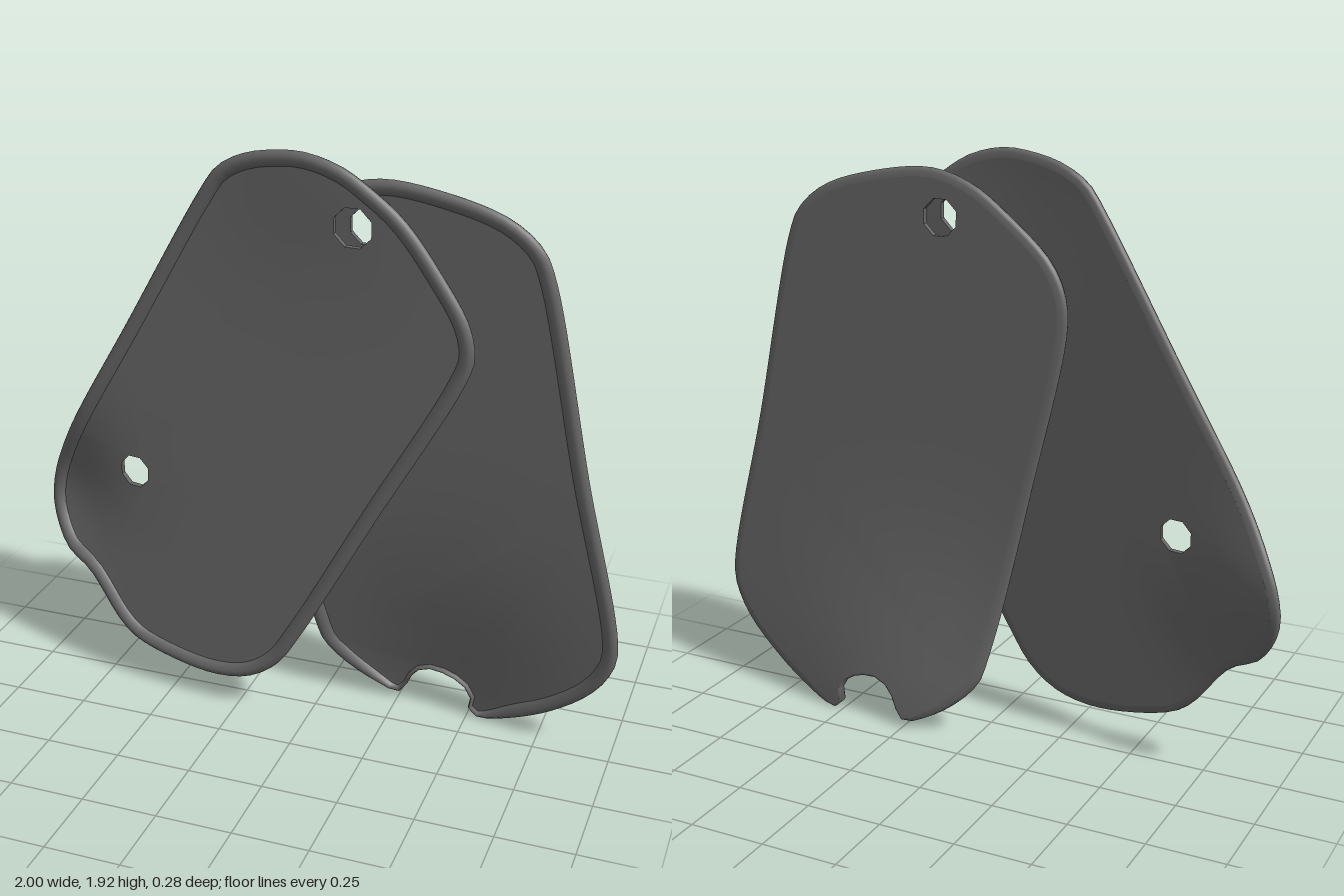
import * as THREE from 'three';
import { mergeVertices } from 'three/addons/utils/BufferGeometryUtils.js';

const SAMPLES = 120;
const bump = (x, y, cx, cy, amount, spread) =>
  amount * Math.exp(-((x - cx) ** 2 + (y - cy) ** 2) / spread);

// Bend of each plate, as depth over the front plane
function frontBend(x, y) {
  const s = (x + 0.23) * 0.866 - (y - 1.01) * 0.5;
  return 0.04 + 0.115 * s + bump(x, y, -1, 0.65, -0.08, 0.06) + bump(x, y, 0.05, 1.95, 0.03, 0.12);
}
function rearBend(x, y) {
  const s = (x - 0.35) * 0.977 + (y - 0.95) * 0.21;
  const u = (y - 0.95) * 0.977 - (x - 0.35) * 0.21;
  return -0.02 + 0.04 * s + 0.015 * u + bump(x, y, 0.3, -0.05, -0.105, 0.26);
}

// Outlines, counter-clockwise: x, y and an optional rim width factor
const frontOutline = [
  [-0.02, 1.92], [-0.12, 1.915], [-0.23, 1.89], [-0.32, 1.84], [-0.38, 1.76], [-0.665, 1.27],
  [-0.95, 0.78], [-0.99, 0.68], [-1, 0.6], [-0.98, 0.52], [-0.92, 0.43], [-0.82, 0.37],
  [-0.7, 0.22], [-0.64, 0.17], [-0.5, 0.125], [-0.33, 0.105], [-0.2, 0.13], [-0.1, 0.2],
  [-0.02, 0.32], [0.24, 0.795], [0.5, 1.27], [0.53, 1.36], [0.51, 1.46], [0.42, 1.6],
  [0.3, 1.75], [0.2, 1.83], [0.1, 1.89],
];
const rearOutline = [
  [0.2, 1.85], [0.06, 1.81], [-0.06, 1.73], [-0.214, 1.594], [-0.265, 1.49], [-0.272, 1.38],
  [-0.155, 0.83], [-0.035, 0.28], [-0.01, 0.2], [0.05, 0.13], [0.15, 0.06, 0.8], [0.25, 0.025, 0.4],
  [0.28, 0.06, 0.3], [0.31, 0.12, 0.3], [0.36, 0.15, 0.3], [0.44, 0.14, 0.3], [0.49, 0.11, 0.3],
  [0.51, 0.07, 0.3], [0.5, 0.04, 0.3], [0.52, 0.01, 0.3], [0.56, 0.005, 0.5], [0.68, 0.05],
  [0.8, 0.12], [0.92, 0.22], [0.98, 0.31], [1, 0.4], [0.87, 1.0], [0.74, 1.6], [0.7, 1.69],
  [0.6, 1.77], [0.4, 1.83],
];

// Rolled rim section: inset from the outline, depth
const rimSection = [
  [0.05, -0.001], [0.042, 0.01], [0.026, 0.018], [0.012, 0.015], [0.003, 0.007],
  [0, -0.002], [0.003, -0.011], [0.012, -0.018], [0.03, -0.02],
];

// Evenly spaced outline samples with their inward normals
function sampleOutline(points) {
  const curve = new THREE.CatmullRomCurve3(
    points.map(([x, y, w = 1]) => new THREE.Vector3(x, y, w * 0.1)), true, 'centripetal');
  const p = curve.getSpacedPoints(SAMPLES).slice(0, SAMPLES);
  return p.map((q, i) => {
    const a = p[(i + SAMPLES - 1) % SAMPLES], b = p[(i + 1) % SAMPLES];
    const n = new THREE.Vector2(a.y - b.y, b.x - a.x).normalize();
    const w = q.z * 10;
    return (inset) => new THREE.Vector2(q.x + n.x * inset * w, q.y + n.y * inset * w);
  });
}

// Splits every triangle into four
function subdivide(array) {
  const out = [];
  const mid = (a, b) => a.map((v, k) => (v + b[k]) / 2);
  for (let i = 0; i < array.length; i += 9) {
    const [a, b, c] = [0, 3, 6].map((k) => Array.from(array.slice(i + k, i + k + 3)));
    const ab = mid(a, b), bc = mid(b, c), ca = mid(c, a);
    for (const v of [a, ab, ca, ab, b, bc, ca, bc, c, ab, bc, ca]) out.push(v[0], v[1], v[2]);
  }
  return out;
}

function bendGeometry(geometry, bend) {
  const pos = geometry.attributes.position;
  for (let i = 0; i < pos.count; i++) {
    pos.setZ(i, pos.getZ(i) + bend(pos.getX(i), pos.getY(i)));
  }
  geometry.computeVertexNormals();
  return geometry;
}

// Flat panel with punched holes
function panelGeometry(samples, holes, bend) {
  const shape = new THREE.Shape(samples.map((at) => at(0.03)));
  for (const [x, y, r] of holes) {
    const ring = [];
    for (let k = 0; k < 8; k++) {
      const a = -((k + 0.5) / 8) * Math.PI * 2;
      ring.push(new THREE.Vector2(x + r * Math.cos(a), y + r * Math.sin(a)));
    }
    shape.holes.push(new THREE.Path(ring));
  }
  let flat = new THREE.ExtrudeGeometry(shape, { depth: 0.02, bevelEnabled: false });
  if (flat.index) flat = flat.toNonIndexed();
  let positions = flat.attributes.position.array;
  for (let level = 0; level < 3; level++) positions = subdivide(positions);
  let geometry = new THREE.BufferGeometry();
  geometry.setAttribute('position', new THREE.Float32BufferAttribute(positions, 3));
  geometry.computeVertexNormals(); // face normals keep the hole edges sharp when merging
  geometry = mergeVertices(geometry, 1e-4);
  geometry.translate(0, 0, -0.02);
  return bendGeometry(geometry, bend);
}

// Rim swept round the outline
function rimGeometry(samples, bend) {
  const positions = [], index = [], m = rimSection.length;
  samples.forEach((at, i) => {
    rimSection.forEach(([inset, z], j) => {
      const p = at(inset);
      positions.push(p.x, p.y, z);
      if (j === m - 1) return;
      const a = i * m + j, b = ((i + 1) % SAMPLES) * m + j;
      index.push(a, a + 1, b, a + 1, b + 1, b);
    });
  });
  const geometry = new THREE.BufferGeometry();
  geometry.setAttribute('position', new THREE.Float32BufferAttribute(positions, 3));
  geometry.setIndex(index);
  return bendGeometry(geometry, bend);
}

function makeTag(name, outline, holes, bend, material) {
  const tag = new THREE.Group();
  tag.name = name;
  const samples = sampleOutline(outline);
  const panel = new THREE.Mesh(panelGeometry(samples, holes, bend), material);
  panel.name = 'panel';
  const rim = new THREE.Mesh(rimGeometry(samples, bend), material);
  rim.name = 'rolledRim';
  tag.add(panel, rim);
  return tag;
}

export function createModel() {
  const steel = new THREE.MeshStandardMaterial({ color: 0x666666 });
  steel.name = 'dull steel';
  const model = new THREE.Group();
  model.name = 'metalTags';
  model.add(
    makeTag('frontTag', frontOutline, [[0.135, 1.71, 0.065], [-0.635, 0.78, 0.056]], frontBend, steel),
    makeTag('rearTag', rearOutline, [[0.165, 1.7, 0.062]], rearBend, steel),
  );
  return model;
}
